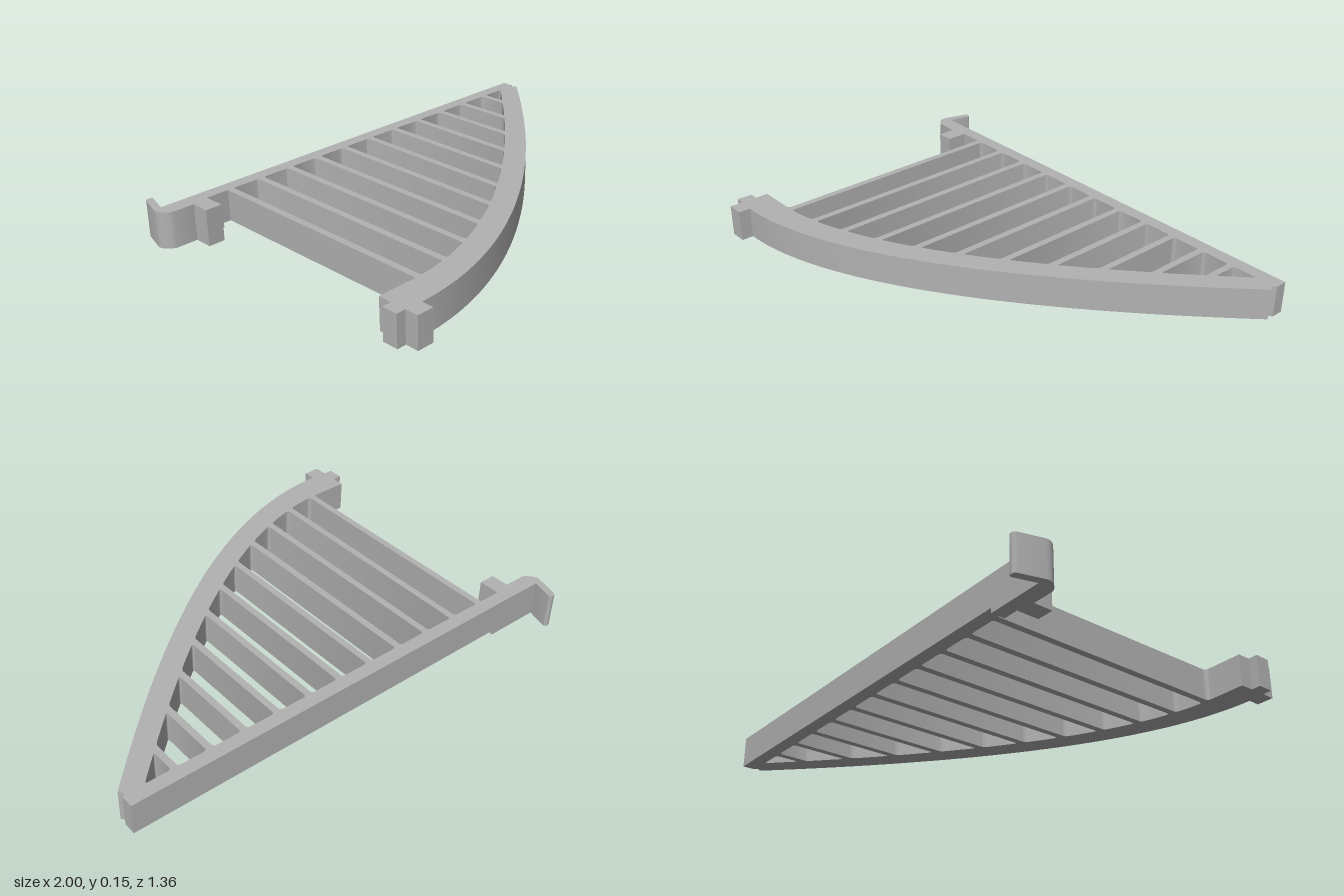
import * as THREE from 'three';
import { toCreasedNormals } from 'three/addons/utils/BufferGeometryUtils.js';

const TOP = 0.15, BASE = 0.02, BAR_Z = -0.525, RIB_HALF = 0.014;

// Height of the curved rail's inner edge at x (a quadratic arc)
function innerZ(x) {
  const t = (-1.2 + Math.sqrt(1.44 + 1.72 * (x + 0.72))) / 0.86;
  return 0.5 - 1.025 * t * t;
}

// Closed path through the points with each corner rounded
function roundedPath(points, radius) {
  const path = new THREE.Path();
  const v = points.map(([x, z]) => new THREE.Vector2(x, z));
  v.forEach((p, i) => {
    const toward = (q) => {
      const d = q.clone().sub(p);
      return p.clone().add(d.setLength(Math.min(radius, d.length() / 2)));
    };
    const a = toward(v[(i + v.length - 1) % v.length]);
    const b = toward(v[(i + 1) % v.length]);
    if (i === 0) path.moveTo(a.x, a.y);
    else path.lineTo(a.x, a.y);
    path.quadraticCurveTo(p.x, p.y, b.x, b.y);
  });
  path.closePath();
  return path;
}

// Plan shape (x, z) made into a slab between two heights
function slab(shape, y0, y1) {
  const geo = new THREE.ExtrudeGeometry(shape, { depth: y1 - y0, bevelEnabled: false, curveSegments: 40 });
  geo.rotateX(Math.PI / 2);
  geo.translate(0, y1, 0);
  return toCreasedNormals(geo, Math.PI / 7);
}

// Hook at the back left end, shared by the frame and its foot
function traceHook(s) {
  s.lineTo(-0.795, -0.435);
  s.lineTo(-0.865, -0.435);
  s.lineTo(-0.865, -0.513);
  s.lineTo(-0.955, -0.513);
  s.quadraticCurveTo(-0.97, -0.515, -0.99, -0.54);
  s.quadraticCurveTo(-1.002, -0.555, -0.998, -0.575);
  s.lineTo(-0.97, -0.67);
  s.quadraticCurveTo(-0.966, -0.68, -0.955, -0.68);
  s.quadraticCurveTo(-0.938, -0.68, -0.94, -0.668);
  s.lineTo(-0.965, -0.58);
}

export function createModel() {
  const grey = new THREE.MeshStandardMaterial({ color: 0xb2b2b2 });
  grey.name = 'plain grey';
  const group = new THREE.Group();
  group.name = 'ribbedBracket';

  // Frame outline: hook, straight bar, curved rail, front clip, first rib
  const frame = new THREE.Shape();
  frame.moveTo(-0.698, BAR_Z);
  frame.lineTo(-0.795, BAR_Z);
  traceHook(frame);
  frame.lineTo(1, -0.58);
  frame.lineTo(1, -0.53);
  frame.lineTo(0.985, -0.518);
  frame.lineTo(1, -0.5);
  frame.quadraticCurveTo(-0.09, 0.625, -0.795, 0.625);
  [[-0.795, 0.675], [-0.865, 0.675], [-0.865, 0.62], [-0.903, 0.62], [-0.903, 0.555],
    [-0.865, 0.555], [-0.865, 0.5], [-0.715, 0.5]].forEach(([x, z]) => frame.lineTo(x, z));
  frame.quadraticCurveTo(-0.698, 0.5, -0.698, 0.48);

  // Openings that leave the parallel ribs between them
  const ribX = (i) => -0.684 + 0.1475 * i;
  for (let i = 0; i < 11; i++) {
    const x0 = ribX(i) + RIB_HALF;
    const x1 = i < 10 ? ribX(i + 1) - RIB_HALF : 0.91;
    const pts = [[x0, BAR_Z], [x1, BAR_Z]];
    for (let k = i < 10 ? 0 : 1; k <= 4; k++) {
      const x = x1 + (x0 - x1) * k / 4;
      pts.push([x, innerZ(x)]);
    }
    frame.holes.push(roundedPath(pts, 0.014));
  }
  const frameMesh = new THREE.Mesh(slab(frame, BASE, TOP), grey);
  frameMesh.name = 'ribbedFrame';
  group.add(frameMesh);

  // Thin foot under the hook end
  const foot = new THREE.Shape();
  foot.moveTo(-0.73, BAR_Z);
  foot.lineTo(-0.795, BAR_Z);
  traceHook(foot);
  foot.lineTo(-0.73, -0.58);
  const footMesh = new THREE.Mesh(slab(foot, 0, BASE), grey);
  footMesh.name = 'hookFoot';
  group.add(footMesh);

  return group;
}
